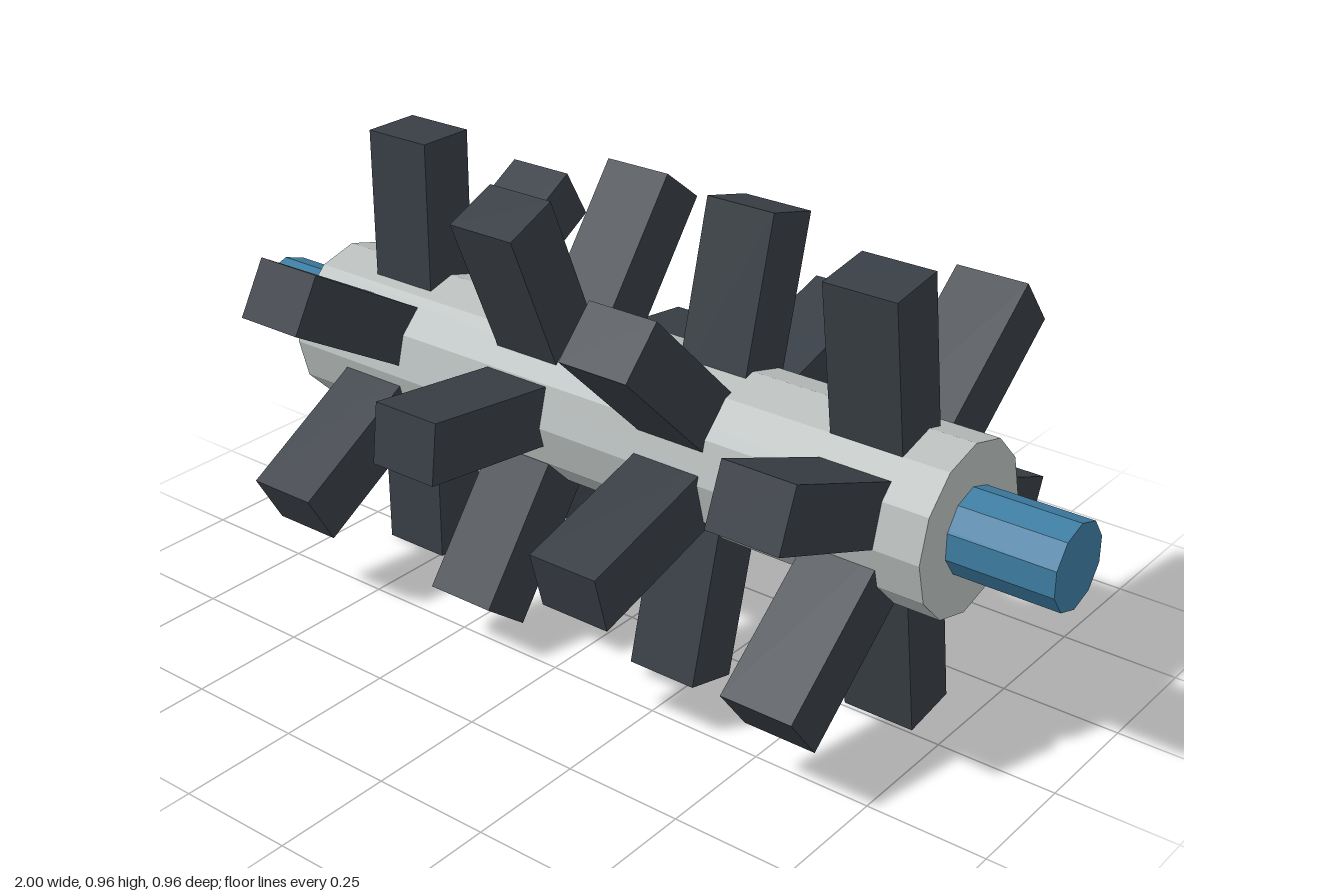
import * as THREE from 'three';

export function createModel() {
  const model = new THREE.Group();
  model.name = 'bladedRotor';

  const paint = (name, color) => {
    const m = new THREE.MeshStandardMaterial({ color, flatShading: true });
    m.name = name;
    return m;
  };
  const steelBlue = paint('steelBlue', 0x3d7ca1);
  const lightGrey = paint('lightGrey', 0xb8bebd);
  const darkGrey = paint('darkGrey', 0x383e45);

  const axisY = 0.481;

  // faceted cylinder lying along x, with one corner pointing straight up
  const addBar = (name, radius, length, sides, material) => {
    const geo = new THREE.CylinderGeometry(radius, radius, length, sides, 1, false, Math.PI / 2);
    geo.rotateZ(Math.PI / 2);
    const mesh = new THREE.Mesh(geo, material);
    mesh.name = name;
    mesh.position.y = axisY;
    model.add(mesh);
  };
  addBar('shaft', 0.087, 2, 10, steelBlue);
  addBar('drum', 0.174, 1.564, 12, lightGrey);

  // four rings of six teeth, each ring twisted further round the drum
  const inner = 0.09, outer = 0.477;
  const toothGeo = new THREE.BoxGeometry(0.155, outer - inner, 0.127);
  toothGeo.translate(0, (inner + outer) / 2, 0);
  for (let r = 0; r < 4; r++) {
    const ring = new THREE.Group();
    ring.name = `toothRing${r + 1}`;
    ring.position.set(-0.565 + r * 0.3907, axisY, 0);
    ring.rotation.x = r * 0.4;
    for (let i = 0; i < 6; i++) {
      const tooth = new THREE.Mesh(toothGeo, darkGrey);
      tooth.name = `tooth${i + 1}`;
      tooth.rotation.x = (i * Math.PI) / 3;
      ring.add(tooth);
    }
    model.add(ring);
  }
  return model;
}
